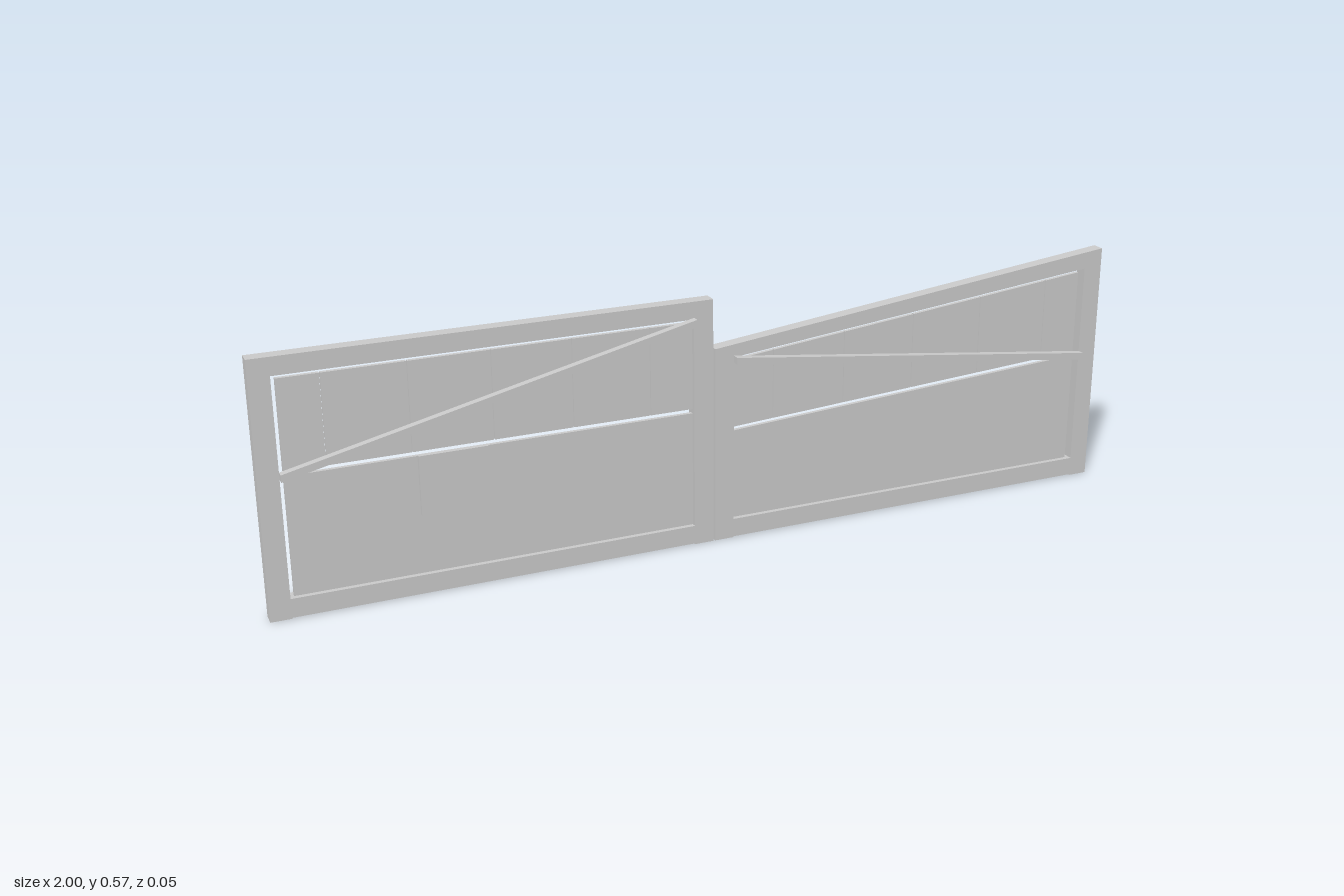
import * as THREE from 'three';

const steel = new THREE.MeshStandardMaterial({ color: 0xc8c8c8 });
steel.name = 'plain grey';

// Straight line through two heights at x0 and x1
const line = (x0, y0, x1, y1) => (x) => y0 + ((y1 - y0) * (x - x0)) / (x1 - x0);

// Slab between two edge lines, from x0 to x1 and z0 to z1
function slab(name, x0, x1, bottom, top, z0, z1) {
  const shape = new THREE.Shape([
    new THREE.Vector2(x0, bottom(x0)),
    new THREE.Vector2(x1, bottom(x1)),
    new THREE.Vector2(x1, top(x1)),
    new THREE.Vector2(x0, top(x0)),
  ]);
  const geometry = new THREE.ExtrudeGeometry(shape, { depth: z1 - z0, bevelEnabled: false });
  geometry.translate(0, 0, z0);
  const mesh = new THREE.Mesh(geometry, steel);
  mesh.name = name;
  return mesh;
}

const BACK = -0.026, FRONT = 0.005;        // frame depth
const PANEL_BACK = -0.015, PANEL_FRONT = -0.006;
const flat = (y) => () => y;

// One leaf: x0/x1 outer edges, l/r post inner edges, p0/p1 panel ends
function gateLeaf(name, g) {
  const leaf = new THREE.Group();
  leaf.name = name;
  const frame = (n, a, b, lo, hi) => leaf.add(slab(n, a, b, lo, hi, BACK, FRONT));
  const panel = (n, a, b, lo, hi) => leaf.add(slab(n, a, b, lo, hi, PANEL_BACK, PANEL_FRONT));

  // Frame
  frame('rightPost', g.x0, g.l, flat(0), g.railTop);
  frame('leftPost', g.r, g.x1, flat(0), g.railTop);
  frame('topRail', g.l, g.r, g.railBottom, g.railTop);
  frame('bottomRail', g.l, g.r, flat(0.002), flat(0.045));

  // Solid lower panel
  panel('lowerPanel', g.p0, g.p1, flat(0.045), g.lowerTop);

  // Upper boards with fine seams
  const seams = [-2, -1, 0, 1, 2].map((i) => (g.x0 + g.x1) / 2 + i * 0.177);
  const ends = [g.p0, ...seams, g.p1];
  for (let i = 0; i < ends.length - 1; i++) {
    const a = ends[i] + (i > 0 ? 0.001 : 0);
    const b = ends[i + 1] - (i < ends.length - 2 ? 0.001 : 0);
    panel('upperBoard', a, b, g.upperBottom, g.upperTop);
  }

  // Diagonal brace on the front face
  const half = 0.008;
  leaf.add(slab('brace', g.l, g.r, (x) => g.brace(x) - half, (x) => g.brace(x) + half, FRONT, 0.022));
  return leaf;
}

export function createModel() {
  const model = new THREE.Group();
  model.name = 'doubleGate';

  const level = gateLeaf('levelLeaf', {
    x0: -1, l: -0.955, r: -0.05, x1: -0.005, p0: -0.945, p1: -0.05,
    railTop: flat(0.57), railBottom: flat(0.53),
    upperTop: flat(0.52), upperBottom: flat(0.321), lowerTop: flat(0.311),
    brace: line(-0.955, 0.318, -0.05, 0.526),
  });

  // Mounting plate
  level.add(slab('plate', -0.675, -0.525, flat(0.19), flat(0.323), 0.017, 0.027));

  const slope = (y0, y1) => line(0.045, y0, 0.955, y1);
  const sloped = gateLeaf('slopedLeaf', {
    x0: 0, l: 0.045, r: 0.955, x1: 1, p0: 0.045, p1: 0.945,
    railTop: slope(0.461, 0.566), railBottom: slope(0.431, 0.527),
    upperTop: slope(0.421, 0.517), upperBottom: slope(0.264, 0.32), lowerTop: slope(0.255, 0.31),
    brace: slope(0.427, 0.314),
  });

  model.add(level, sloped);
  return model;
}
